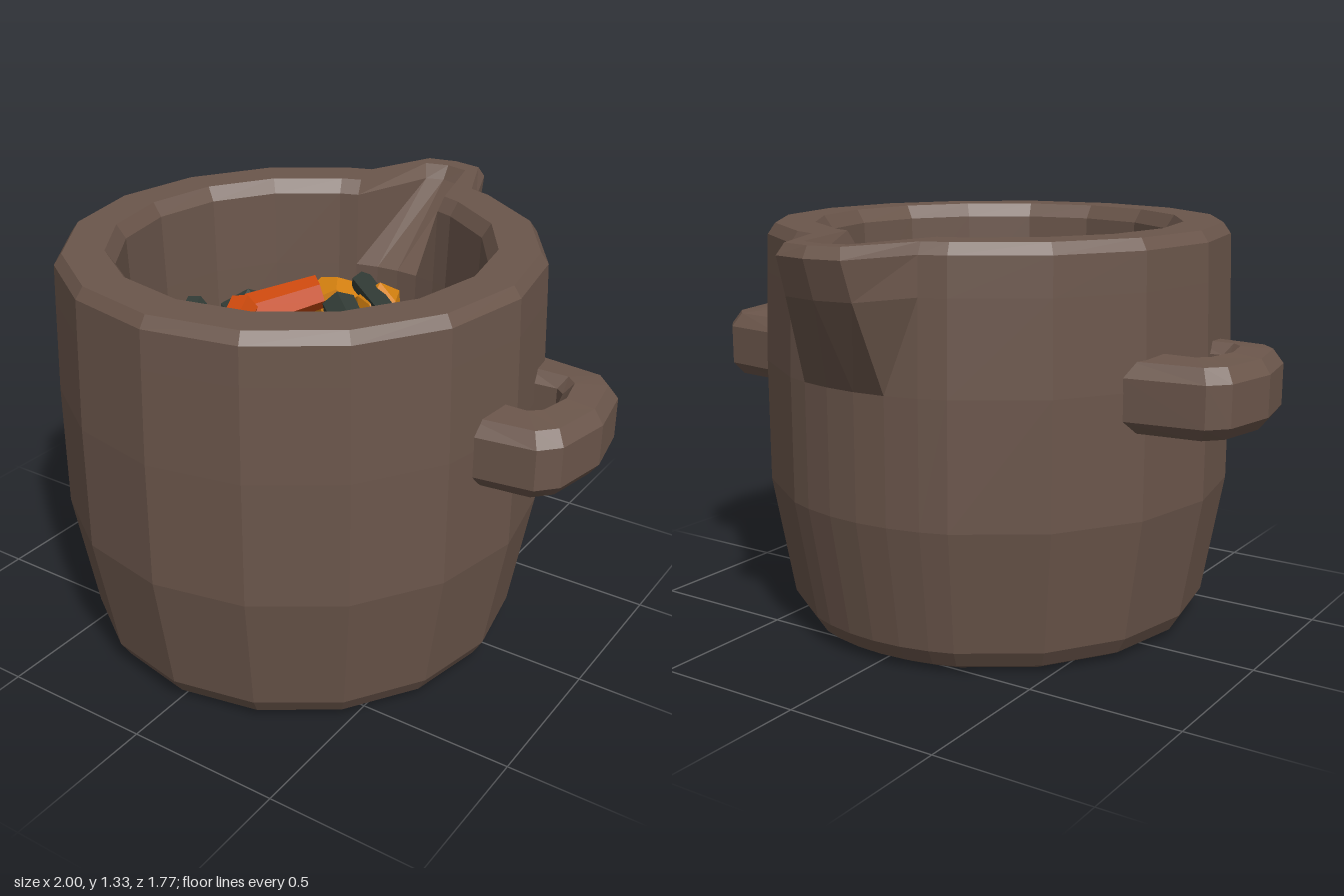
import * as THREE from 'three';

const mat = (name, color) => {
  const m = new THREE.MeshStandardMaterial({ color });
  m.name = name;
  return m;
};
const clay = mat('brown clay', 0x6b564b);
const brothGreen = mat('broth green', 0x39433c);
const green = mat('dark green', 0x323c36);
const orange = mat('carrot orange', 0xcc490d);
const amber = mat('amber', 0xd4800f);
const tan = mat('pale gold', 0xd8a03e);

const CZ = 0.1; // the pot sits a little forward, the spout takes up the back

// Unshared corners give every facet its own normal
function flat(geo) {
  const g = geo.index ? geo.toNonIndexed() : geo;
  g.computeVertexNormals();
  return g;
}

function addMesh(parent, name, geo, material) {
  const m = new THREE.Mesh(flat(geo), material);
  m.name = name;
  parent.add(m);
  return m;
}

// Skin a list of closed rings of [x, y, z]; optionally cap the ends
function loft(rings, capStart, capEnd) {
  const n = rings[0].length, pos = rings.flat(2), idx = [];
  for (let i = 0; i < rings.length - 1; i++) {
    for (let j = 0; j < n; j++) {
      const k = (j + 1) % n, a = i * n + j, b = i * n + k;
      idx.push(a, b, b + n, a, b + n, a + n);
    }
  }
  const last = (rings.length - 1) * n;
  for (let j = 1; j < n - 1; j++) {
    if (capStart) idx.push(0, j + 1, j);
    if (capEnd) idx.push(last, last + j, last + j + 1);
  }
  const g = new THREE.BufferGeometry();
  g.setAttribute('position', new THREE.Float32BufferAttribute(pos, 3));
  g.setIndex(idx);
  return g;
}

// One slightly oval ring of the pot: 16 sides, the back one replaced by five spout columns
function potRing([y, r, tipZ, tipW]) {
  const ring = [];
  const polar = (deg) => {
    const a = THREE.MathUtils.degToRad(deg);
    return [0.975 * r * Math.sin(a), y, CZ + r * Math.cos(a)];
  };
  for (let k = 0; k < 8; k++) ring.push(polar(k * 22.5));
  ring.push(polar(164));
  if (tipZ) ring.push([tipW, y, tipZ + 0.02], [0, y, tipZ], [-tipW, y, tipZ + 0.02]);
  else ring.push(polar(172), polar(180), polar(188));
  ring.push(polar(196));
  for (let k = 9; k < 16; k++) ring.push(polar(k * 22.5));
  return ring;
}

// Handle: chamfered section carried along an arch, from outer/inner pairs
function handleGeometry() {
  const half = [
    [0.66, 0.285, 0.68, 0.1],
    [0.91, 0.25, 0.8, 0.11],
    [0.965, 0.19, 0.83, 0.085],
    [1.0, 0, 0.85, 0],
  ];
  const path = [...half, ...half.slice(0, 3).reverse().map(([a, b, c, d]) => [a, -b, c, -d])];
  const section = [[0.2, -0.11], [0.8, -0.115], [1, -0.08], [1, 0.08], [0.8, 0.115], [0.2, 0.105], [0, 0.06], [0, -0.07]];
  const rings = path.map(([ox, oz, ix, iz]) => section.map(([t, h]) => [
    ox + (ix - ox) * t, 0.865 + h, 0.02 + oz + (iz - oz) * t]));
  return loft(rings, true, true);
}

export function createModel() {
  const model = new THREE.Group();
  model.name = 'stewPot';

  // Pot wall, rim and lining in one skin: [y, radius, spout tip z, spout half width]
  const profile = [
    [0, 0.63], [0.025, 0.68], [0.08, 0.715], [0.48, 0.785], [0.88, 0.785],
    [1.17, 0.775, -0.85, 0.12], [1.29, 0.77, -0.89, 0.115], [1.325, 0.745, -0.87, 0.1],
    [1.325, 0.615, -0.81, 0.08], [1.28, 0.585, -0.78, 0.06], [1.03, 0.575], [0.75, 0.565],
  ];
  addMesh(model, 'potBody', loft(profile.map(potRing), true, false), clay);

  // Handles
  addMesh(model, 'leftHandle', handleGeometry(), clay);
  addMesh(model, 'rightHandle', handleGeometry().rotateY(Math.PI).translate(0, 0, 0.04), clay);

  // Stew surface
  const broth = addMesh(model, 'stewSurface', new THREE.CylinderGeometry(0.575, 0.575, 0.06, 16), brothGreen);
  broth.position.set(0, 0.8, CZ);

  // Rounded lumps: [x, z, radius, y]
  const lumps = (name, material, list, squash) => list.forEach(([x, z, r, y = 0.88], i) => {
    const geo = i % 2 ? new THREE.IcosahedronGeometry(r, 0) : new THREE.DodecahedronGeometry(r, 0);
    const m = addMesh(model, name, geo, material);
    m.position.set(x, y, z);
    m.rotation.set(i * 0.3, i * 1.7, 0.2);
    m.scale.set(1.1, squash, 0.95);
  });
  lumps('potatoChunk', amber, [[-0.2, -0.37, 0.09, 0.92], [-0.02, -0.39, 0.09, 0.92],
    [0.29, 0, 0.09, 0.92], [-0.12, 0.19, 0.08, 0.9], [0.04, 0.27, 0.115, 0.9]], 0.9);
  lumps('paleChunk', tan, [[-0.16, 0.06, 0.1, 0.91], [-0.01, -0.02, 0.09, 0.93], [0.15, 0.07, 0.085, 0.9]], 0.85);
  lumps('carrotChunk', orange, [[-0.17, -0.06, 0.11, 0.87], [-0.43, 0.14, 0.11], [0.39, -0.21, 0.08, 0.91],
    [0.42, 0.31, 0.1], [0.17, 0.57, 0.095], [-0.5, 0.08, 0.07]], 0.8);
  lumps('greenChunk', green, [[0.21, -0.35, 0.13, 0.9], [-0.42, -0.15, 0.11], [-0.34, 0.32, 0.14],
    [0.4, 0.2, 0.14, 0.9], [0.45, 0.06, 0.11], [0.23, 0.2, 0.1, 0.86], [-0.33, -0.29, 0.1],
    [0.03, 0.55, 0.12, 0.85], [0.16, 0.42, 0.11, 0.86], [0.34, -0.31, 0.1, 0.86], [0.3, 0.48, 0.11, 0.85],
    [-0.05, 0.4, 0.1, 0.85], [0.4, -0.06, 0.11, 0.85], [-0.17, 0.32, 0.1, 0.84], [0.14, -0.08, 0.11, 0.85],
    [-0.1, -0.2, 0.1, 0.85], [-0.47, 0.02, 0.09, 0.86]], 0.7);

  // Cut sticks between two points: [x1, z1, x2, z2, radius, y1, y2]
  const sticks = (name, material, list) => list.forEach(([x1, z1, x2, z2, r, y1, y2]) => {
    const a = new THREE.Vector3(x1, y1, z1), b = new THREE.Vector3(x2, y2, z2);
    const dir = b.clone().sub(a);
    const m = addMesh(model, name, new THREE.CylinderGeometry(r * 0.85, r, dir.length(), 6), material);
    m.position.copy(a).add(b).multiplyScalar(0.5);
    m.quaternion.setFromUnitVectors(new THREE.Vector3(0, 1, 0), dir.normalize());
  });
  sticks('carrotStick', orange, [[-0.37, -0.11, -0.2, -0.29, 0.07, 0.91, 0.97],
    [-0.35, -0.04, -0.23, 0.25, 0.055, 0.96, 0.92]]);
  sticks('greenStick', green, [[-0.12, -0.43, 0.12, -0.27, 0.04, 0.98, 0.93],
    [-0.12, -0.29, 0.1, -0.1, 0.065, 0.93, 0.88], [0.2, -0.23, 0.45, -0.05, 0.05, 0.96, 0.91],
    [-0.52, 0, -0.41, 0.25, 0.045, 0.94, 0.91], [0.22, 0.32, 0.37, 0.48, 0.05, 0.93, 0.9],
    [0.1, 0.48, 0.25, 0.34, 0.05, 0.89, 0.94], [-0.03, -0.22, 0.15, -0.14, 0.05, 0.87, 0.89]]);

  // Ring slice
  const slice = addMesh(model, 'greenRing', new THREE.TorusGeometry(0.105, 0.05, 6, 9), green);
  slice.position.set(-0.15, 0.91, 0.5);
  slice.rotation.set(Math.PI / 2, 0.15, 0);

  return model;
}
